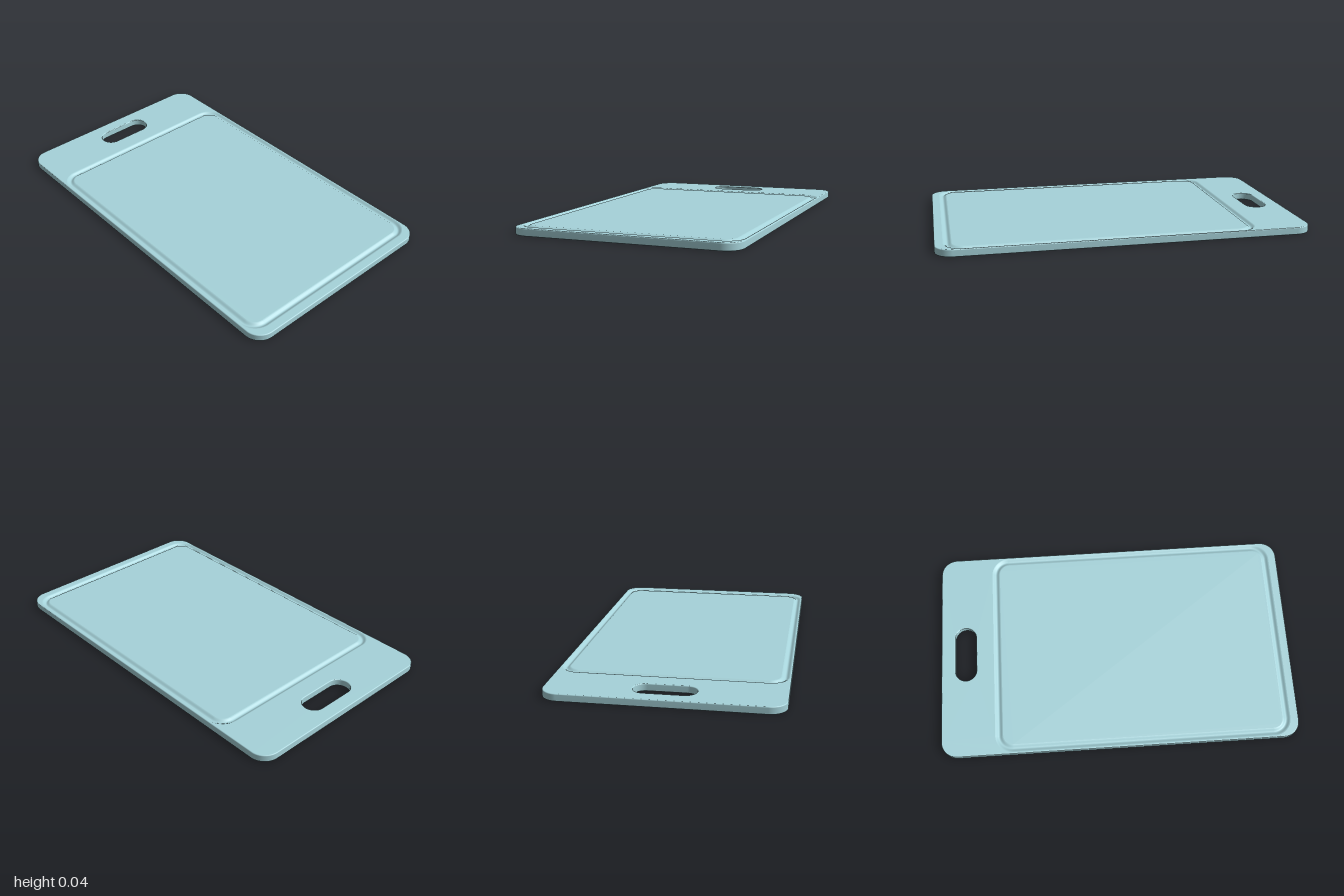
import * as THREE from 'three';

const H = 0.04;              // board thickness
const EDGE = 0.005;          // rounding of outer edge and grip hole
const GROOVE_W = 0.045, GROOVE_D = 0.011;

// Rounded rectangles: centre x, half sizes and corner radius
const BOARD = { cx: 0, w: 1, d: 0.6, r: 0.09 };
const GRIP = { cx: -0.86, w: 0.06, d: 0.16, r: 0.06 };
const GROOVE = { cx: 0.128, w: 0.828, d: 0.592, r: 0.1 };

// Counter-clockwise outline, shrunk by inset
function outline({ cx, w, d, r }, inset = 0, steps = 12) {
  const pts = [];
  const rad = r - inset;
  [[1, 1], [-1, 1], [-1, -1], [1, -1]].forEach(([sx, sy], q) => {
    for (let i = 0; i <= steps; i++) {
      const a = (q + i / steps) * Math.PI / 2;
      pts.push(new THREE.Vector2(
        cx + sx * (w - r) + rad * Math.cos(a),
        sy * (d - r) + rad * Math.sin(a)));
    }
  });
  return pts;
}

// Smooth band through outlines given as [inset, y] pairs
function loft(rect, profile) {
  const pos = [], index = [];
  const n = outline(rect).length;
  profile.forEach(([inset, y], k) => {
    outline(rect, inset).forEach((p, i) => {
      pos.push(p.x, y, -p.y);
      if (k === profile.length - 1) return;
      const a = k * n + i, b = k * n + (i + 1) % n;
      index.push(a, b, b + n, a, b + n, a + n);
    });
  });
  const geo = new THREE.BufferGeometry();
  geo.setAttribute('position', new THREE.Float32BufferAttribute(pos, 3));
  geo.setIndex(index);
  geo.computeVertexNormals();
  return geo;
}

// Flat face at the top or the underside
function face(points, holes, top) {
  const shape = new THREE.Shape(points);
  holes.forEach(h => shape.holes.push(new THREE.Path(h)));
  const geo = new THREE.ShapeGeometry(shape);
  geo.rotateX(top ? -Math.PI / 2 : Math.PI / 2);
  return geo.translate(0, top ? H : 0, 0);
}

// Quarter-round edges from the underside to the top
function edgeProfile(sign) {
  const pts = [];
  for (let i = 0; i <= 4; i++) {
    const a = i / 4 * Math.PI / 2;
    pts.push([sign * EDGE * (1 - Math.sin(a)), EDGE * (1 - Math.cos(a))]);
  }
  return [...pts, ...pts.map(([x, y]) => [x, H - y]).reverse()];
}

export function createModel() {
  const group = new THREE.Group();
  group.name = 'cuttingBoard';
  const material = new THREE.MeshStandardMaterial({ color: 0xa6d3da });
  const add = (name, geo) => {
    const mesh = new THREE.Mesh(geo, material);
    mesh.name = name;
    group.add(mesh);
  };

  // Outer rim and grip hole wall
  add('outerEdge', loft(BOARD, edgeProfile(1)));
  add('gripHoleWall', loft(GRIP, edgeProfile(-1).reverse()));

  // Juice groove cross-section, from outer lip to inner lip
  const groove = [];
  for (let i = 0; i <= 12; i++) {
    const t = i / 12;
    groove.push([t * GROOVE_W, GROOVE_D * Math.sin(Math.PI * t) ** 2]);
  }

  // Both sides carry the same groove and central cutting area
  for (const top of [true, false]) {
    const side = top ? 'top' : 'bottom';
    add(side + 'Border', face(outline(BOARD, EDGE),
      [outline(GRIP, -EDGE), outline(GROOVE)], top));
    add(side + 'JuiceGroove', loft(GROOVE, top
      ? groove.map(([x, y]) => [x, H - y])
      : [...groove].reverse()));
    add(side + 'CuttingArea', face(outline(GROOVE, GROOVE_W), [], top));
  }
  return group;
}
